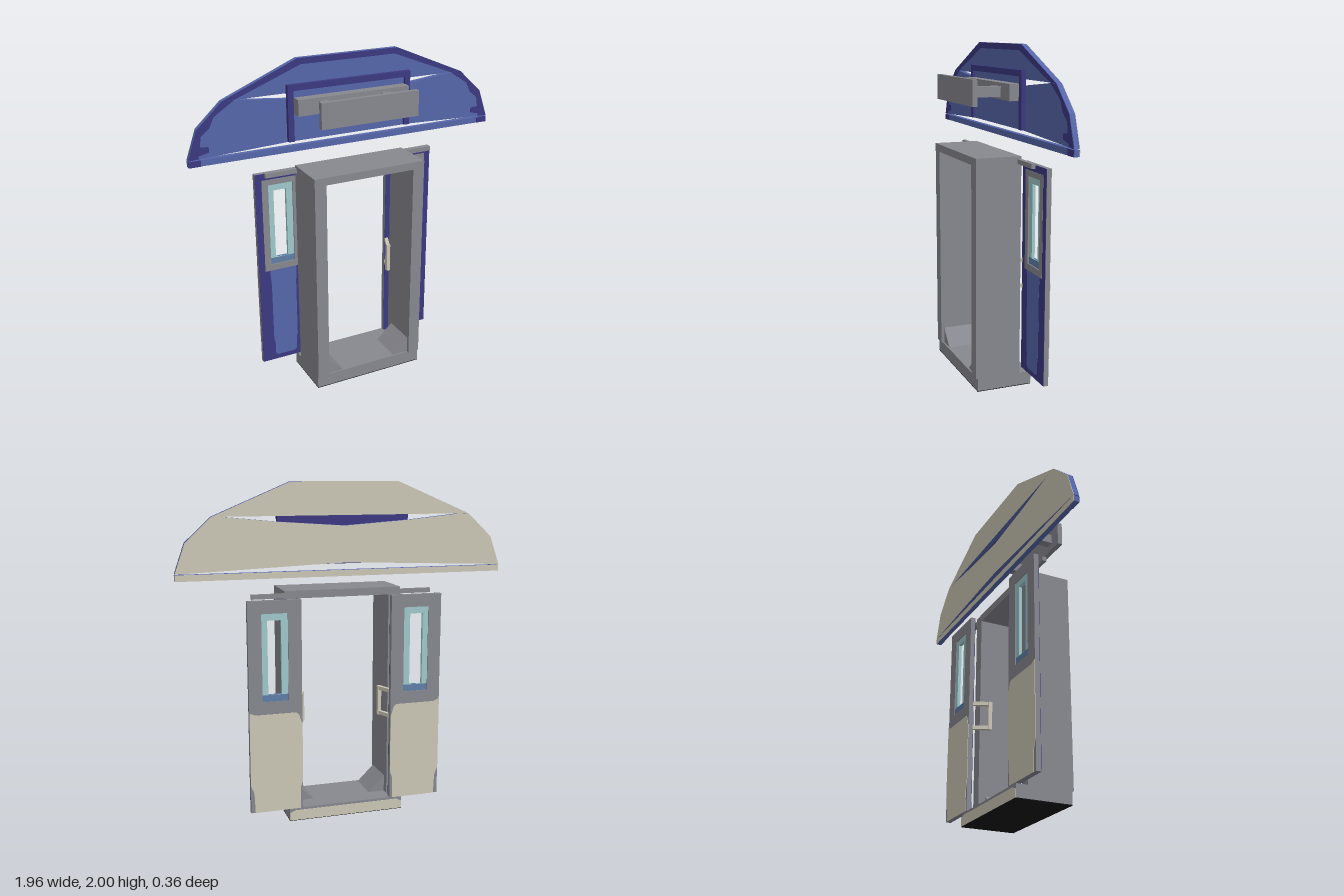
import * as THREE from 'three';

const mat = (name, color, extra = {}) => {
  const m = new THREE.MeshStandardMaterial({ color, ...extra });
  m.name = name;
  return m;
};

export function createModel() {
  const model = new THREE.Group();
  model.name = 'doorway';
  const grey = mat('grey metal', 0x87878f);
  const blue = mat('blue paint', 0x5666aa);
  const navy = mat('navy trim', 0x3b3880);
  const beige = mat('beige backing', 0xcbc6b6);
  const teal = mat('teal window frame', 0x9fc9cb);
  const steel = mat('steel blue sill', 0x5f7fa8);
  const black = mat('black underside', 0x161618);

  const add = (parent, name, geo, material) => {
    const m = new THREE.Mesh(geo, material);
    m.name = name;
    parent.add(m);
    return m;
  };
  // box given by its limits
  const box = (parent, name, material, x0, x1, y0, y1, z0, z1) => {
    const g = new THREE.BoxGeometry(x1 - x0, y1 - y0, z1 - z0);
    g.translate((x0 + x1) / 2, (y0 + y1) / 2, (z0 + z1) / 2);
    return add(parent, name, g, material);
  };
  const toPoints = (list) => list.map(([x, y]) => new THREE.Vector2(x, y));
  const rect = (x0, x1, y0, y1) => [[x0, y0], [x1, y0], [x1, y1], [x0, y1]];
  // flat outline extruded from z0 to z1, with optional holes
  const slab = (parent, name, material, outline, z0, z1, holes = []) => {
    const s = new THREE.Shape(toPoints(outline));
    holes.forEach((h) => s.holes.push(new THREE.Path(toPoints(h))));
    const g = new THREE.ExtrudeGeometry(s, { depth: z1 - z0, bevelEnabled: false });
    g.translate(0, 0, z0);
    return add(parent, name, g, material);
  };
  const flip = (list) => list.map(([x, y]) => [-x, y]).reverse();
  // square bar between two points
  const bar = (parent, name, material, a, b, w) => {
    const p = new THREE.Vector3(...a), q = new THREE.Vector3(...b);
    const m = add(parent, name, new THREE.BoxGeometry(w, w, p.distanceTo(q)), material);
    m.position.copy(p).add(q).multiplyScalar(0.5);
    m.lookAt(q);
  };

  // Canopy: three slabs with narrow gaps between them
  const canopy = new THREE.Group();
  canopy.name = 'canopy';
  model.add(canopy);
  const panels = {
    upperPanel: [[-0.77, 1.81], [0.77, 1.81], [0.32, 2], [-0.32, 2]],
    middlePanel: [[-0.98, 1.5], [-0.22, 1.531], [0, 1.538], [0.22, 1.531], [0.98, 1.5], [0.92, 1.67],
      [0.77, 1.81], [0.7, 1.808], [0.4, 1.778], [0, 1.75], [-0.4, 1.778], [-0.7, 1.808], [-0.77, 1.81], [-0.92, 1.67]],
    lowerPanel: rect(-0.98, 0.98, 1.46, 1.496),
  };
  for (const [name, outline] of Object.entries(panels)) {
    slab(canopy, name, blue, outline, -0.133, -0.103);
    slab(canopy, name + 'Back', beige, outline, -0.136, -0.133);
  }
  slab(canopy, 'upperTrim', navy, [[-0.77, 1.81], [-0.7, 1.81], [-0.3, 1.965], [0.3, 1.965], [0.7, 1.81],
    [0.77, 1.81], [0.32, 2], [-0.32, 2]], -0.103, -0.1);
  const sideTrim = [[0.98, 1.5], [0.92, 1.67], [0.77, 1.81], [0.7, 1.808], [0.76, 1.77], [0.82, 1.73],
    [0.85, 1.67], [0.9, 1.63], [0.91, 1.57], [0.86, 1.565], [0.86, 1.535], [0.92, 1.52], [0.92, 1.504]];
  for (const s of [1, -1]) {
    slab(canopy, 'sideTrim', navy, s > 0 ? sideTrim : flip(sideTrim), -0.103, -0.1);
    const x = s * 0.945;
    box(canopy, 'endTrim', navy, x - 0.035, x + 0.035, 1.46, 1.496, -0.103, -0.1);
  }

  // Panel behind the projecting bracket
  const sign = new THREE.Group();
  sign.name = 'centrePanel';
  model.add(sign);
  box(sign, 'panelBody', navy, -0.395, 0.395, 1.53, 1.86, -0.1, -0.088);
  box(sign, 'panelFace', blue, -0.355, 0.355, 1.53, 1.825, -0.088, -0.084);
  slab(sign, 'panelBorder', navy, [[-0.395, 1.53], [-0.36, 1.53], [-0.36, 1.825], [0.36, 1.825], [0.36, 1.53],
    [0.395, 1.53], [0.395, 1.86], [-0.395, 1.86]], -0.088, -0.073);

  // Projecting bracket
  const bracket = new THREE.Group();
  bracket.name = 'bracket';
  model.add(bracket);
  box(bracket, 'mount', grey, -0.355, 0.355, 1.69, 1.785, -0.084, -0.02);
  box(bracket, 'frontPlate', grey, -0.305, 0.305, 1.66, 1.81, 0.15, 0.18);
  for (const s of [1, -1]) box(bracket, 'arm', grey, s * 0.2 - 0.027, s * 0.2 + 0.027, 1.705, 1.765, -0.02, 0.15);

  // Door frame and threshold
  const frame = new THREE.Group();
  frame.name = 'doorFrame';
  model.add(frame);
  slab(frame, 'surround', grey, [[-0.355, 0.08], [-0.282, 0.08], [-0.282, 1.335], [0.282, 1.335], [0.282, 0.08],
    [0.355, 0.08], [0.355, 1.38], [-0.355, 1.38]], -0.095, 0.18);
  box(frame, 'threshold', grey, -0.355, 0.355, 0.004, 0.08, -0.167, 0.17);
  box(frame, 'thresholdUnderside', black, -0.355, 0.355, 0, 0.004, -0.167, 0.17);
  slab(frame, 'thresholdBack', beige, [[-0.355, 0.004], [0.355, 0.004], [0.355, 0.05], [0.32, 0.065],
    [-0.32, 0.065], [-0.355, 0.05]], -0.17, -0.167);
  box(frame, 'slideRail', grey, -0.55, 0.55, 1.338, 1.365, -0.094, -0.07);
  const wedge = [[0.18, 0.08], [0.282, 0.08], [0.282, 0.18]];
  for (const s of [1, -1]) slab(frame, 'cornerWedge', grey, s > 0 ? wedge : flip(wedge), -0.05, 0.16);

  // Sliding doors
  const f = -0.14, b = -0.175;
  for (const s of [1, -1]) {
    const door = new THREE.Group();
    door.name = s > 0 ? 'leftDoor' : 'rightDoor';
    model.add(door);
    const o = (list) => (s > 0 ? list : flip(list));
    const pane = o(rect(0.355, 0.51, 0.75, 1.265));
    const surround = o(rect(0.315, 0.55, 0.71, 1.3));
    const leaf = o(rect(0.275, 0.59, 0.08, 1.34));
    slab(door, 'leaf', grey, leaf, b + 0.003, f - 0.003, [pane]);
    slab(door, 'frontTrim', navy, leaf, f - 0.003, f - 0.001, [surround]);
    slab(door, 'windowSurround', grey, surround, f - 0.003, f, [pane]);
    slab(door, 'frontPanel', blue, o([[0.375, 0.11], [0.49, 0.11], [0.505, 0.125], [0.505, 0.2], [0.513, 0.23],
      [0.513, 0.6], [0.52, 0.71], [0.345, 0.71], [0.352, 0.6], [0.352, 0.23], [0.36, 0.2], [0.36, 0.125]]), f - 0.001, f);
    slab(door, 'backPanel', beige, o([[0.29, 0.08], [0.565, 0.08], [0.57, 0.2], [0.59, 0.25], [0.59, 0.69],
      [0.555, 0.675], [0.31, 0.675], [0.295, 0.66], [0.275, 0.6], [0.275, 0.25], [0.29, 0.21]]), b, b + 0.003);
    slab(door, 'windowFrame', teal, o([[0.355, 0.79], [0.51, 0.79], [0.51, 1.265], [0.355, 1.265]]), b + 0.008, f - 0.008,
      [o(rect(0.395, 0.475, 0.791, 1.225))]);
    slab(door, 'windowSill', steel, o(rect(0.355, 0.51, 0.75, 0.791)), b + 0.008, f - 0.008);

    // Pull handle reaching through the opening
    const handle = new THREE.Group();
    handle.name = 'handle';
    door.add(handle);
    for (const y of [0.597, 0.753]) bar(handle, 'handlePost', beige, [s * 0.285, y, -0.14], [s * 0.245, y, -0.045], 0.022);
    box(handle, 'handleGrip', beige, s * 0.245 - 0.011, s * 0.245 + 0.011, 0.585, 0.765, -0.058, -0.034);
  }
  return model;
}
